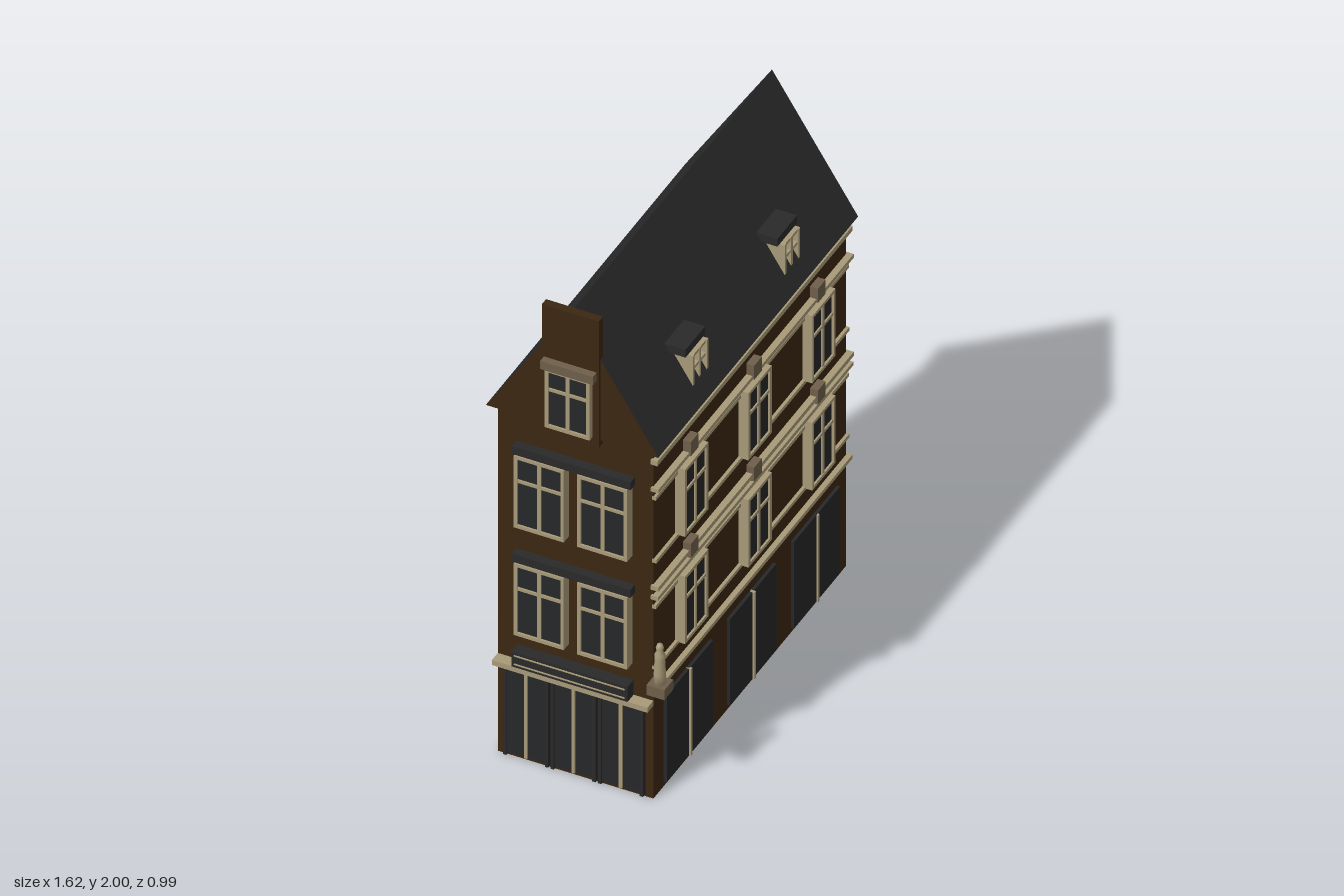
import * as THREE from 'three';

const mat = (name, color) => {
  const m = new THREE.MeshStandardMaterial({ color });
  m.name = name;
  return m;
};

export function createModel() {
  const brick = mat('brown brick', 0x3b2712);
  const slate = mat('dark slate', 0x2a2a2a);
  const glass = mat('dark glass', 0x262728);
  const trim = mat('tan trim', 0xa89a78);
  const stone = mat('grey brown stone', 0x6e5f4a);

  const W = 0.724, D = 0.295; // half width and half depth of the walls
  const EAVES = 1.485, RIDGE = 2;

  const model = new THREE.Group();
  model.name = 'townHouse';
  const house = new THREE.Group();
  house.name = 'house';
  house.rotation.y = 0.212;
  house.position.set(0.005, 0, -0.015);
  model.add(house);

  // Box given by its lower and upper limits on each axis
  const box = (parent, name, m, x0, x1, y0, y1, z0, z1) => {
    const mesh = new THREE.Mesh(new THREE.BoxGeometry(x1 - x0, y1 - y0, z1 - z0), m);
    mesh.position.set((x0 + x1) / 2, (y0 + y1) / 2, (z0 + z1) / 2);
    mesh.name = name;
    parent.add(mesh);
    return mesh;
  };
  const group = (parent, name) => {
    const g = new THREE.Group();
    g.name = name;
    parent.add(g);
    return g;
  };

  // Walls and gabled roof
  box(house, 'walls', brick, -W, W, 0, EAVES, -D, D);
  const tri = new THREE.Shape([
    new THREE.Vector2(-0.327, EAVES),
    new THREE.Vector2(0.327, EAVES),
    new THREE.Vector2(0, RIDGE),
  ]);
  const roofGeo = new THREE.ExtrudeGeometry(tri, { depth: 1.502, bevelEnabled: false });
  roofGeo.translate(0, 0, -0.751).rotateY(Math.PI / 2);
  const roof = new THREE.Mesh(roofGeo, [brick, slate]);
  roof.name = 'roof';
  house.add(roof);

  // Facades: local x runs along the wall, local z points outwards
  const front = group(house, 'frontFacade');
  front.position.z = D;
  const side = group(house, 'sideFacade');
  side.position.x = -W;
  side.rotation.y = -Math.PI / 2;

  // Cross window with a deep frame
  const addWindow = (parent, x, y0, y1, w, p, base = 0) => {
    const g = group(parent, 'window');
    const h = w / 2, t = 0.013, ty = y0 + (y1 - y0) * 0.65;
    box(g, 'windowGlass', glass, x - h + t, x + h - t, y0 + t, y1 - t, base, p - 0.008);
    for (const s of [-1, 1]) {
      const c = x + s * (h - t / 2);
      box(g, 'windowJamb', trim, c - t / 2, c + t / 2, y0, y1, base, p);
    }
    box(g, 'windowSill', trim, x - h, x + h, y0, y0 + t, base, p);
    box(g, 'windowHead', trim, x - h, x + h, y1 - t, y1, base, p);
    box(g, 'mullion', trim, x - 0.007, x + 0.007, y0, y1, base, p - 0.002);
    box(g, 'transom', trim, x - h, x + h, ty - 0.006, ty + 0.006, base, p - 0.002);
  };

  // Shop opening with a middle post
  const addShopDoor = (parent, x, w, p) => {
    const g = group(parent, 'shopDoor');
    box(g, 'doorPanel', glass, x - w / 2, x + w / 2, 0.02, 0.39, 0, p);
    box(g, 'doorPost', trim, x - 0.006, x + 0.006, 0.02, 0.39, 0, p + 0.007);
  };

  // Front: three bays
  for (const x of [-0.473, 0.003, 0.482]) {
    addShopDoor(front, x, 0.347, 0.012);
    for (const [y0, y1, k] of [[0.56, 0.848, 0.915], [1.018, 1.305, 1.35]]) {
      addWindow(front, x, y0, y1, 0.174, 0.038);
      box(front, 'keystone', stone, x - 0.029, x + 0.029, k - 0.03, k + 0.03, 0, 0.03);
    }
  }

  // Front: string courses as height, thickness, projection
  const bands = [
    [1.443, 0.02, 0.02], [1.326, 0.016, 0.024], [1.284, 0.015, 0.01],
    [1.016, 0.015, 0.012], [0.907, 0.018, 0.024], [0.865, 0.016, 0.022],
    [0.82, 0.015, 0.01], [0.56, 0.014, 0.012], [0.468, 0.016, 0.02],
  ];
  for (const [y, h, p] of bands) {
    const e = p > 0.015 ? 0.01 : 0.001;
    box(front, 'stringCourse', trim, -W - e, W + e, y - h / 2, y + h / 2, -0.005, p);
  }

  // Side: paired windows under a dark lintel
  for (const [y0, y1] of [[0.55, 0.856], [1.01, 1.316]]) {
    for (const x of [-0.12, 0.12]) addWindow(side, x, y0, y1, 0.19, 0.04);
    box(side, 'lintel', slate, -0.225, 0.225, y1, y1 + 0.034, 0, 0.034);
  }

  // Side: shopfront, ledge and plain fascia
  for (const x of [-0.18, 0, 0.18]) {
    addShopDoor(side, x, 0.165, 0.014);
    for (const s of [-1, 1]) {
      const c = x + s * 0.079;
      box(side, 'shopFrame', slate, c - 0.006, c + 0.006, 0.01, 0.395, 0, 0.02);
    }
  }
  box(side, 'shopLedge', trim, -D, D, 0.397, 0.418, 0, 0.045);
  box(side, 'fascia', slate, -0.22, 0.22, 0.418, 0.482, 0, 0.046);
  for (const y of [0.432, 0.468]) {
    box(side, 'fasciaBead', trim, -0.21, 0.21, y - 0.002, y + 0.002, 0.04, 0.05);
  }

  // Side: upright gable slab with attic window
  box(side, 'gableSlab', brick, -0.108, 0.108, 1.46, RIDGE, 0.008, 0.04);
  addWindow(side, 0, 1.5, 1.75, 0.17, 0.064, 0.03);
  box(side, 'atticWindowCap', stone, -0.1, 0.1, 1.745, 1.78, 0.03, 0.068);

  // Roof dormers
  for (const x of [-0.355, 0.335]) {
    const g = group(house, 'dormer');
    g.position.x = x;
    box(g, 'dormerCap', slate, -0.074, 0.074, 1.672, 1.705, 0.165, 0.268);
    box(g, 'dormerGlass', glass, -0.05, 0.05, 1.55, 1.672, 0.17, 0.262);
    for (const s of [-1, 1]) {
      box(g, 'dormerCheek', trim, s * 0.052 - 0.006, s * 0.052 + 0.006, 1.545, 1.672, 0.17, 0.288);
    }
    box(g, 'dormerMullion', trim, -0.006, 0.006, 1.545, 1.672, 0.2, 0.286);
    for (const y of [1.612, 1.665]) {
      box(g, 'dormerRail', trim, -0.055, 0.055, y - 0.006, y + 0.006, 0.2, 0.284);
    }
  }

  // Corner statue on a bracket
  const corner = group(house, 'cornerStatue');
  corner.position.set(-W - 0.017, 0, D + 0.033);
  box(corner, 'bracket', stone, -0.034, 0.034, 0.478, 0.52, -0.034, 0.034);
  const profile = [[0, 0.52], [0.022, 0.52], [0.021, 0.56], [0.018, 0.62], [0.019, 0.64],
    [0.011, 0.652], [0.014, 0.668], [0.01, 0.682], [0, 0.685]];
  const statue = new THREE.Mesh(
    new THREE.LatheGeometry(profile.map(([r, y]) => new THREE.Vector2(r, y)), 12), trim);
  statue.name = 'statue';
  corner.add(statue);

  return model;
}
